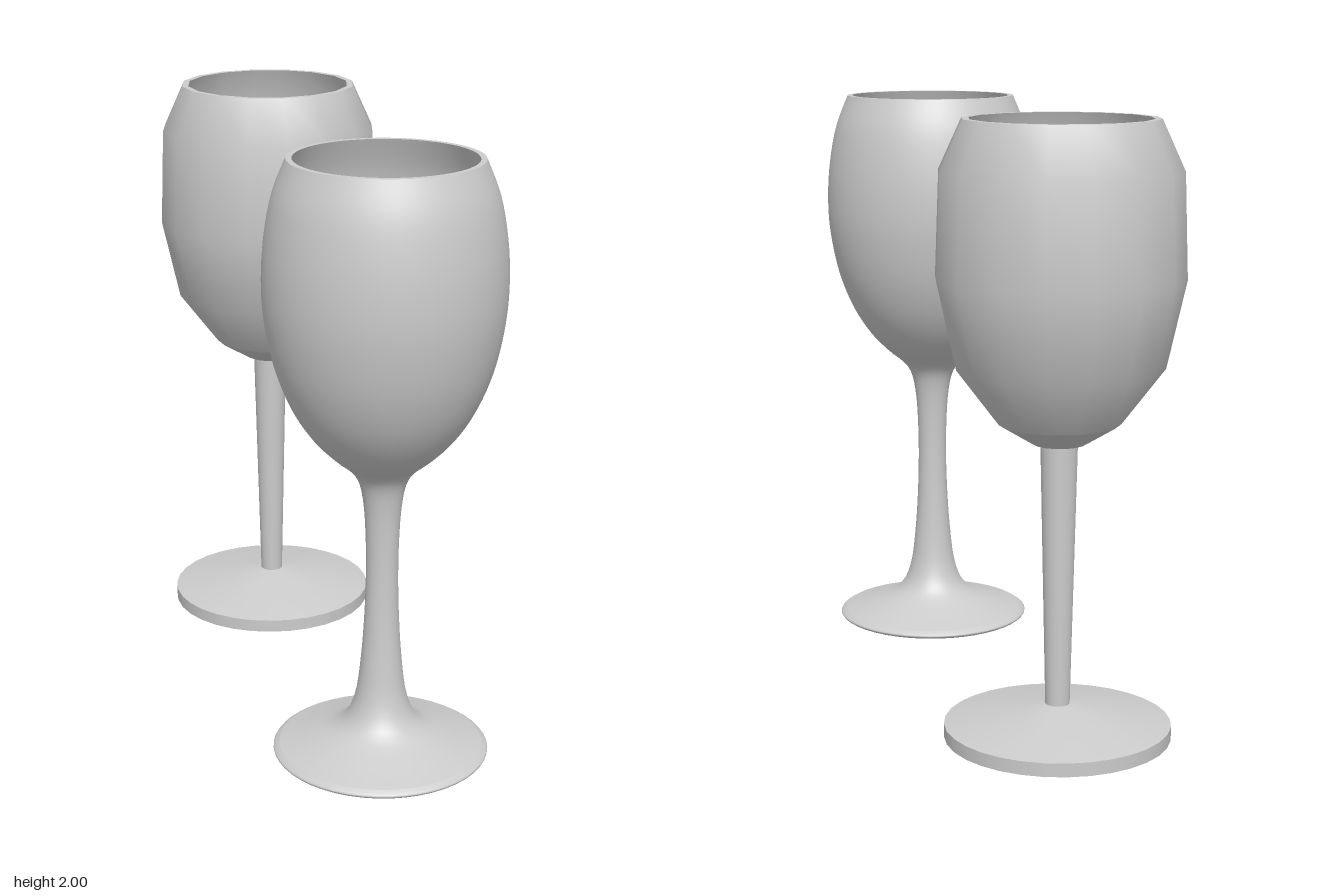
import * as THREE from 'three';

const material = new THREE.MeshStandardMaterial({ color: 0xcccccc });
const vec = ([r, y]) => new THREE.Vector2(r, y);

// Each [radius, height] profile runs counter-clockwise: outwards, up, then back in.
function turned(name, profile, sides) {
  const mesh = new THREE.Mesh(new THREE.LatheGeometry(profile.map(vec), sides), material);
  mesh.name = name;
  return mesh;
}

// Same, with the profile rounded by a curve through its points.
function turnedSmooth(name, profile, sides, steps) {
  const curve = new THREE.SplineCurve(profile.map(vec));
  const points = curve.getPoints(steps).map((p) => [Math.max(p.x, 0), p.y]);
  return turned(name, points, sides);
}

function createFacetedGlass() {
  const glass = new THREE.Group();
  glass.name = 'facetedGlass';
  const sides = 16;

  // Disc foot with a shallow conical top
  glass.add(
    turned('footUnderside', [[0, 0], [0.37, 0]], 32),
    turned('footEdge', [[0.37, 0], [0.37, 0.045]], 32),
    turned('footTop', [[0.37, 0.045], [0.04, 0.11], [0, 0.11]], 32),
  );

  // Stem widening towards the bowl
  glass.add(turned('stem', [[0.04, 0.11], [0.06, 0.98]], 32));

  // Bowl: base cone, outer wall, rim and inside
  glass.add(
    turned('bowlBottom', [[0, 0.975], [0.085, 0.975]], sides),
    turned('bowlCone', [[0.085, 0.975], [0.197, 1.043]], sides),
    turned('bowlOuter', [[0.197, 1.043], [0.335, 1.225], [0.397, 1.505], [0.385, 1.84], [0.312, 2]], sides),
    turned('bowlRim', [[0.312, 2], [0.29, 2]], sides),
    turned('bowlInner', [[0.29, 2], [0.363, 1.83], [0.375, 1.51], [0.315, 1.24], [0.125, 1.08], [0.035, 1.06], [0, 1.06]], sides),
  );
  return glass;
}

function createRoundGlass() {
  const glass = new THREE.Group();
  glass.name = 'roundGlass';
  const sides = 48;

  // Hollowed underside of the foot
  glass.add(turnedSmooth('footUnderside', [[0, 0.03], [0.16, 0.02], [0.3, 0.008]], sides, 10));
  glass.add(turnedSmooth('footEdge', [[0.3, 0.008], [0.34, 0.015], [0.354, 0.028], [0.335, 0.042]], sides, 12));

  // Foot, stem and bowl flow together in one outer skin
  glass.add(turnedSmooth('outerSkin', [
    [0.335, 0.042], [0.25, 0.068], [0.138, 0.115], [0.088, 0.2], [0.066, 0.35], [0.054, 0.55],
    [0.053, 0.74], [0.064, 0.9], [0.092, 0.985], [0.165, 1.05], [0.232, 1.12], [0.295, 1.22],
    [0.345, 1.35], [0.375, 1.5], [0.382, 1.63], [0.373, 1.76], [0.348, 1.89], [0.305, 2],
  ], sides, 68));
  glass.add(turned('bowlRim', [[0.305, 2], [0.286, 2]], sides));
  glass.add(turnedSmooth('bowlInner', [
    [0.286, 2], [0.328, 1.89], [0.352, 1.76], [0.361, 1.63], [0.354, 1.5],
    [0.324, 1.36], [0.272, 1.24], [0.2, 1.15], [0.11, 1.08], [0.045, 1.04], [0, 1.03],
  ], sides, 40));
  return glass;
}

export function createModel() {
  const model = new THREE.Group();
  model.name = 'wineGlasses';

  const faceted = createFacetedGlass();
  faceted.position.set(-0.514, 0, -0.433);

  const round = createRoundGlass();
  round.position.set(0.525, 0, 0.447);

  model.add(faceted, round);
  return model;
}
